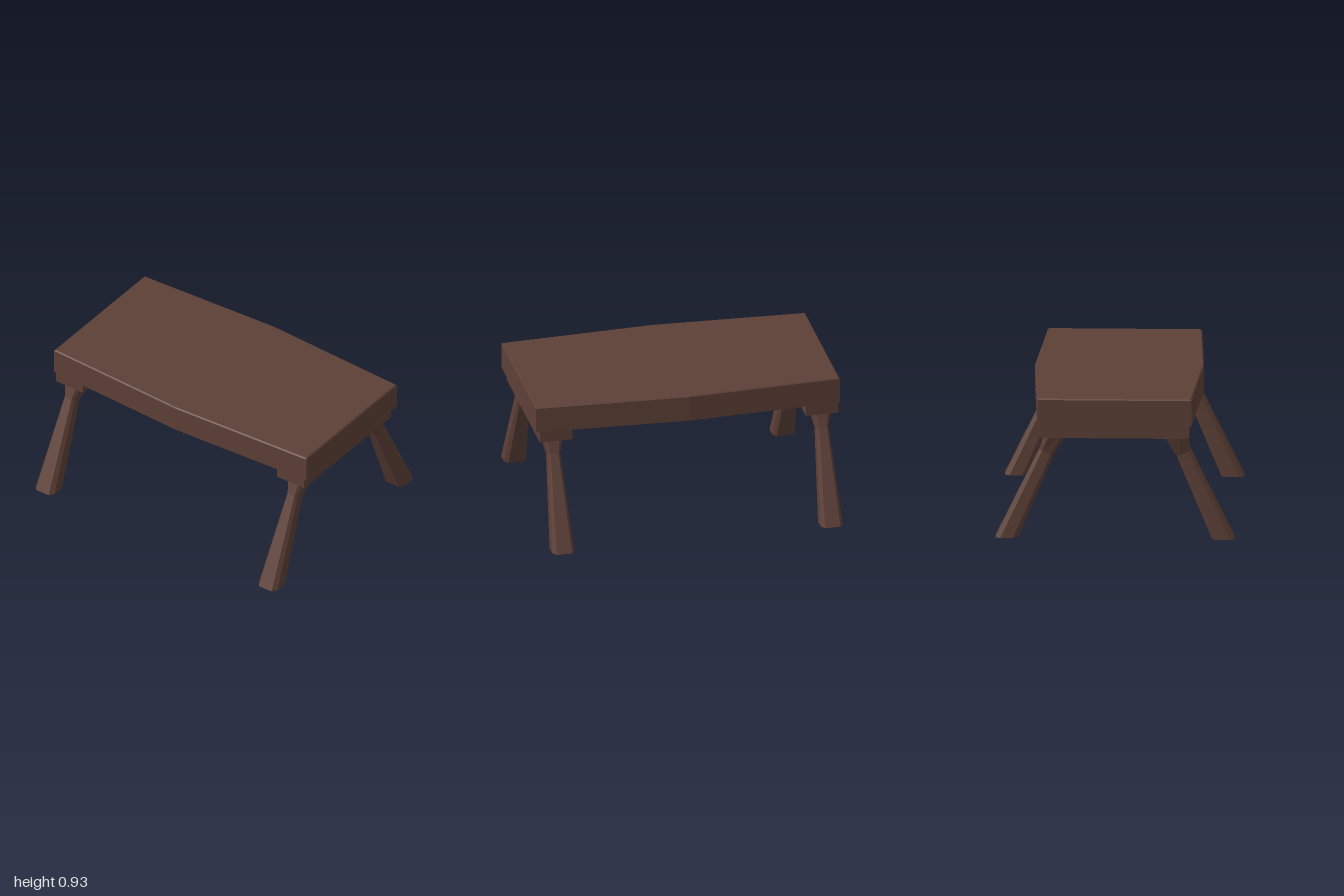
import * as THREE from 'three';

// Joins closed rings of [x, y, z] points, listed bottom to top, and caps both ends
function loft(rings) {
  const pos = [];
  const tri = (a, b, c) => pos.push(...a, ...b, ...c);
  const n = rings[0].length;
  const centre = (ring) => [0, 1, 2].map((k) => ring.reduce((s, p) => s + p[k], 0) / n);
  const first = rings[0];
  const last = rings[rings.length - 1];
  const c0 = centre(first);
  const c1 = centre(last);
  for (let i = 0; i < n; i++) {
    const j = (i + 1) % n;
    for (let r = 0; r < rings.length - 1; r++) {
      const lo = rings[r];
      const hi = rings[r + 1];
      tri(lo[i], hi[i], lo[j]);
      tri(lo[j], hi[i], hi[j]);
    }
    tri(c0, first[i], first[j]);
    tri(c1, last[j], last[i]);
  }
  const geometry = new THREE.BufferGeometry();
  geometry.setAttribute('position', new THREE.Float32BufferAttribute(pos, 3));
  geometry.computeVertexNormals();
  return geometry;
}

// Chamfered rectangle, tilted so that y rises with outward z
function legRing({ x, y, z, hx, hz, cx, cz, tilt }, side) {
  const outline = [
    [hx, -hz + cz], [hx, hz - cz], [hx - cx, hz], [-hx + cx, hz],
    [-hx, hz - cz], [-hx, -hz + cz], [-hx + cx, -hz], [hx - cx, -hz],
  ];
  return outline.map(([px, pz]) => [x + px, y + tilt * pz * side, z * side + pz]);
}

export function createModel() {
  const model = new THREE.Group();
  const wood = new THREE.MeshStandardMaterial({ color: 0x5d4037 });
  wood.name = 'dark brown wood';

  const add = (name, geometry) => {
    const mesh = new THREE.Mesh(geometry, wood);
    mesh.name = name;
    model.add(mesh);
    return mesh;
  };

  // Table top: slab bowed out along both long sides, with a fine bevel on top
  const topRing = (y, inset) => {
    const e = 1 - inset;
    return [
      [e, y, -0.497 + inset], [e, y, 0.493 - inset], [0, y, 0.54 - inset],
      [-e, y, 0.493 - inset], [-e, y, -0.497 + inset], [0, y, -0.545 + inset],
    ];
  };
  add('tableTop', loft([topRing(0.753, 0), topRing(0.92, 0), topRing(0.928, 0.007)]));

  // Cross bars and splayed legs at each end
  const ends = [
    { label: 'left', barX: 0.8625, legX: 0.874 },
    { label: 'right', barX: -0.889, legX: -0.893 },
  ];
  for (const { label, barX, legX } of ends) {
    const bar = add(label + 'CrossBar', new THREE.BoxGeometry(0.215, 0.088, 0.952));
    bar.position.set(barX, 0.714, 0);

    // Each leg narrows to a neck, then flares out under the bar
    const x = legX;
    const sections = [
      { x, y: 0, z: 0.696, hx: 0.073, hz: 0.072, cx: 0.022, cz: 0.032, tilt: 0 },
      { x, y: 0.56, z: 0.44, hx: 0.04, hz: 0.045, cx: 0.014, cz: 0.018, tilt: 0.44 },
      { x, y: 0.675, z: 0.383, hx: 0.07, hz: 0.069, cx: 0.03, cz: 0.03, tilt: 0 },
    ];
    for (const side of [1, -1]) {
      const name = label + (side > 0 ? 'Front' : 'Back') + 'Leg';
      add(name, loft(sections.map((s) => legRing(s, side))));
    }
  }
  return model;
}
